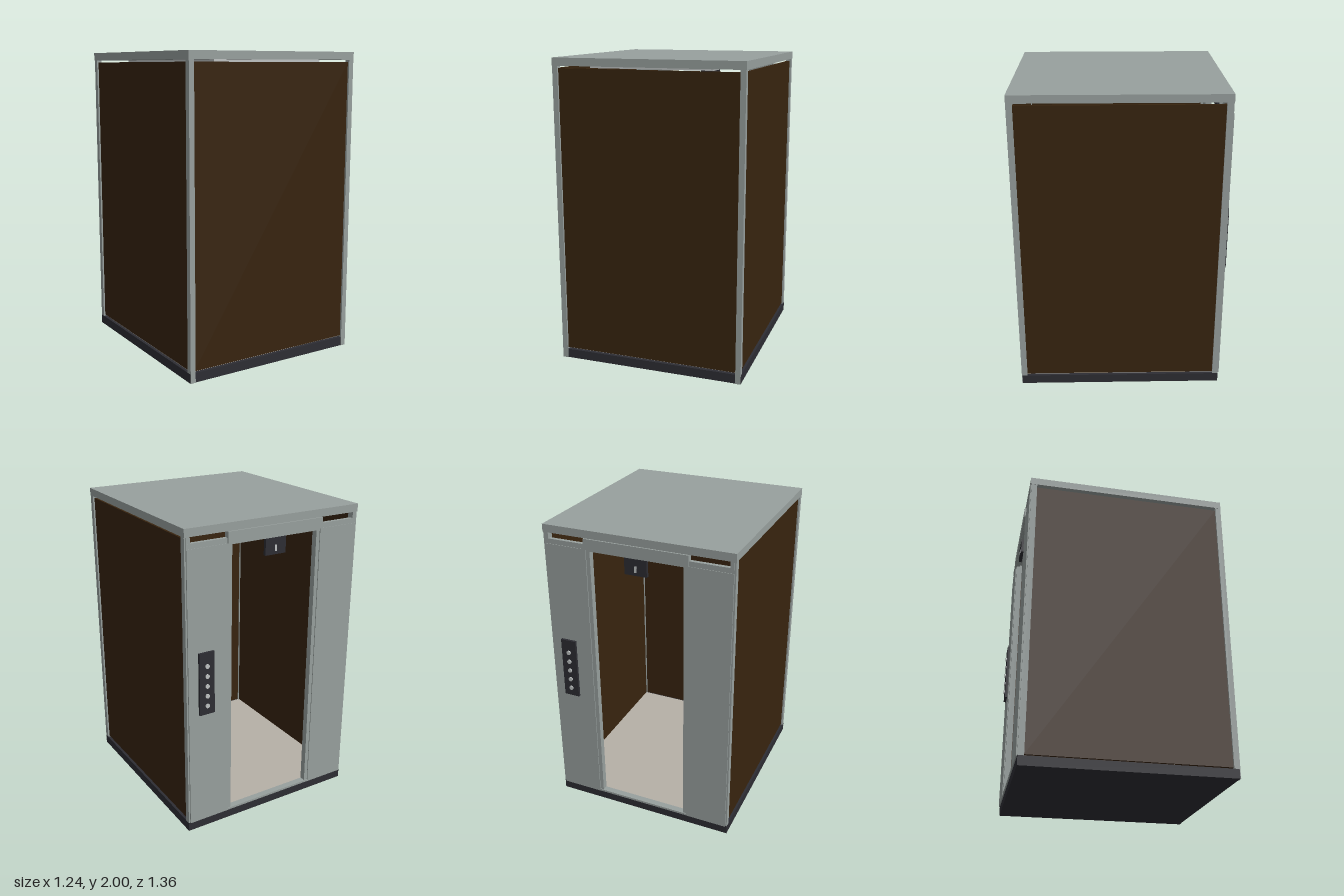
import * as THREE from 'three';

const mat = (name, color) => {
  const m = new THREE.MeshStandardMaterial({ color });
  m.name = name;
  return m;
};

export function createModel() {
  const group = new THREE.Group();
  const steel = mat('steel grey', 0x98a09e);
  const dark = mat('charcoal', 0x2d2d33);
  const brown = mat('dark brown', 0x38240f);
  const beige = mat('beige', 0xb6b0a7);
  const silver = mat('light silver', 0xbfc3c3);

  // Box given by its lower and upper limits on each axis
  const box = (name, material, [x0, x1], [y0, y1], [z0, z1]) => {
    const mesh = new THREE.Mesh(new THREE.BoxGeometry(x1 - x0, y1 - y0, z1 - z0), material);
    mesh.position.set((x0 + x1) / 2, (y0 + y1) / 2, (z0 + z1) / 2);
    mesh.name = name;
    group.add(mesh);
    return mesh;
  };
  // The same box on both sides of x = 0
  const pair = (name, material, [x0, x1], y, z) => {
    box(name + 'Left', material, [x0, x1], y, z);
    box(name + 'Right', material, [-x1, -x0], y, z);
  };

  // Base, floor and roof
  box('base', dark, [-0.62, 0.62], [0, 0.06], [-0.65, 0.675]);
  box('floor', beige, [-0.6, 0.6], [0.06, 0.066], [-0.62, 0.65]);
  box('roof', steel, [-0.622, 0.622], [1.95, 2], [-0.655, 0.68]);
  box('ceilingPanel', silver, [-0.4, 0.4], [1.935, 1.95], [-0.56, 0.6]);

  // Corner posts, with front facings that reach the ground
  pair('frontPost', steel, [0.585, 0.62], [0.06, 1.95], [0.642, 0.676]);
  pair('frontPostFacing', steel, [0.585, 0.62], [0, 1.95], [0.675, 0.68]);
  pair('backPost', steel, [0.585, 0.62], [0.06, 1.95], [-0.65, -0.612]);

  // Wall panels, open along a narrow gap below the roof
  const wallY = [0.07, 1.935];
  box('frontWall', brown, [-0.585, 0.585], wallY, [0.65, 0.667]);
  pair('sideWall', brown, [0.592, 0.609], wallY, [-0.612, 0.642]);

  // Entrance wall beside the open doorway
  pair('entrancePanel', steel, [0.33, 0.61], [0.06, 1.88], [-0.658, -0.63]);
  pair('doorJamb', steel, [0.305, 0.33], [0.06, 1.88], [-0.652, -0.612]);
  box('doorSill', steel, [-0.33, 0.33], [0.06, 0.074], [-0.657, -0.615]);

  // Header with an open vent slot at each end
  box('headerBeam', steel, [-0.61, 0.61], [1.87, 1.912], [-0.655, -0.63]);
  pair('headerEnd', steel, [0.585, 0.61], [1.912, 1.95], [-0.655, -0.63]);
  box('headerPlate', steel, [-0.34, 0.34], [1.88, 1.95], [-0.665, -0.63]);

  // Floor display hanging in the doorway
  box('display', dark, [-0.073, 0.073], [1.765, 1.87], [-0.655, -0.635]);
  box('displayMark', silver, [-0.007, 0.007], [1.785, 1.825], [-0.658, -0.654]);

  // Call panel with a column of buttons
  box('callPanel', dark, [0.438, 0.542], [0.83, 1.24], [-0.674, -0.656]);
  for (let i = 0; i < 5; i++) {
    const button = new THREE.Mesh(new THREE.CylinderGeometry(0.014, 0.014, 0.012, 20), silver);
    button.rotation.x = Math.PI / 2;
    button.position.set(0.49, 0.888 + i * 0.066, -0.676);
    button.name = 'callButton' + (i + 1);
    group.add(button);
  }
  return group;
}
